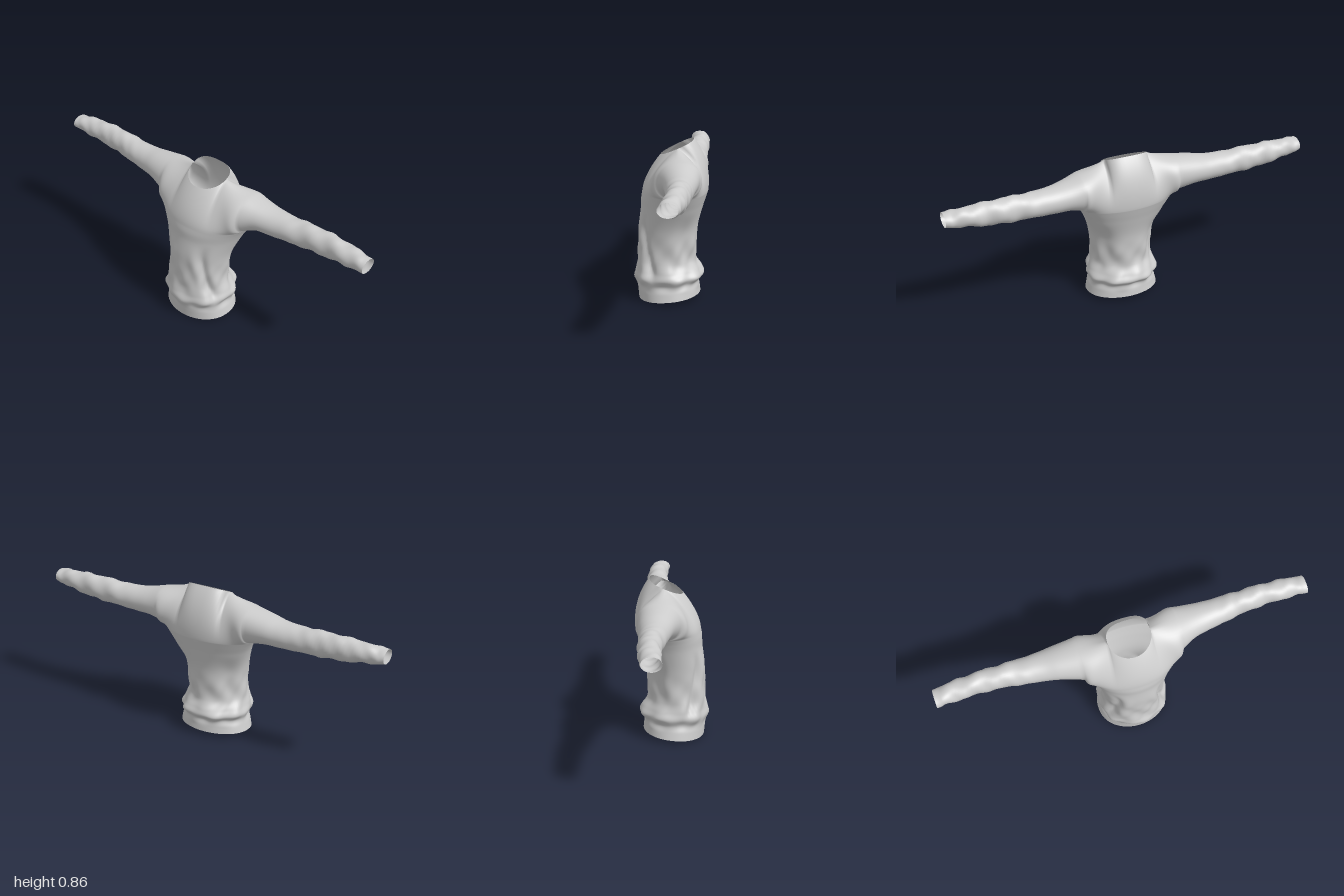
import * as THREE from 'three';
import { mergeGeometries, mergeVertices } from 'three/addons/utils/BufferGeometryUtils.js';

const V = (x, y, z) => new THREE.Vector3(x, y, z);
const CX = 0.02;   // the garment hangs slightly off centre
const N = 48;      // columns per front or back half (multiple of 3)
const M = 20;      // rows from armpit to shoulder
const bell = (d, w) => Math.exp(-(d * d) / (w * w));
const lerp = THREE.MathUtils.lerp;
const step = THREE.MathUtils.smoothstep;

// Skin a grid of points
function skin(rows, flip) {
  const pos = rows.flat().flatMap(p => [p.x, p.y, p.z]);
  const w = rows[0].length, index = [];
  for (let j = 0; j < rows.length - 1; j++) {
    for (let i = 0; i < w - 1; i++) {
      const a = j * w + i, b = a + 1, c = a + w, d = c + 1;
      index.push(...(flip ? [a, c, b, b, c, d] : [a, b, c, b, d, c]));
    }
  }
  const g = new THREE.BufferGeometry();
  g.setAttribute('position', new THREE.Float32BufferAttribute(pos, 3));
  g.setIndex(index);
  return g;
}

// Smooth rows through key rings, column by column
function loft(rings, steps) {
  const columns = rings[0].map((_, i) =>
    new THREE.CatmullRomCurve3(rings.map(r => r[i])).getPoints((rings.length - 1) * steps));
  return columns[0].map((_, j) => columns.map(c => c[j]));
}

// Torso sections: y, right x, left x, front z, back z, side z
const torso = [
  [0.00, -0.180, 0.215, 0.175, -0.155, 0.010],
  [0.04, -0.170, 0.206, 0.179, -0.151, 0.010],
  [0.078, -0.160, 0.197, 0.184, -0.148, 0.010],
  [0.12, -0.176, 0.211, 0.199, -0.174, 0.005],
  [0.16, -0.168, 0.197, 0.190, -0.160, 0.005],
  [0.21, -0.155, 0.183, 0.182, -0.131, 0.010],
  [0.30, -0.152, 0.185, 0.178, -0.134, 0.010],
  [0.40, -0.165, 0.200, 0.174, -0.141, 0.000],
  [0.50, -0.198, 0.237, 0.162, -0.167, -0.030],
  [0.55, -0.223, 0.263, 0.160, -0.183, -0.045],
  [0.585, -0.245, 0.285, 0.154, -0.194, -0.050],
];

function torsoPoint([y, x0, x1, zf, zb, zs], phi) {
  const s = Math.sin(phi);
  const z = zs + (s > 0 ? zf - zs : zs - zb) * Math.sign(s) * Math.abs(s) ** 0.92;
  const tilt = 0.03 * (1 - step(y, 0.0, 0.2)) * (zf - z) / (zf - zb);
  return V((x0 + x1) / 2 - Math.cos(phi) * (x1 - x0) / 2, y + tilt, z);
}

// Drape folds pushed in and out of the torso
function addFolds(p, phi) {
  const y = p.y;
  const drape = step(y, 0.09, 0.2) * (1 - step(y, 0.36, 0.5));
  const low = step(y, 0.05, 0.11) * (1 - step(y, 0.2, 0.4));
  const fromSide = Math.acos(Math.abs(Math.cos(phi)));
  let d = 0;
  if (Math.sin(phi) > 0) {
    const path = lerp(0.45, 0.9, step(y, 0.1, 0.45));
    d -= 0.018 * drape * bell(fromSide - path, 0.13);
    d += 0.008 * drape * bell(fromSide - path - 0.28, 0.16);
  } else {
    d -= 0.016 * drape * bell(fromSide - 0.65, 0.35);
  }
  d += 0.004 * low * Math.sin(7 * phi + 30 * y);
  d += 0.003 * low * Math.sin(11 * phi - 45 * y);
  p.x -= Math.cos(phi) * d;
  p.z += Math.sin(phi) * d;
  return p;
}

function buildTorso() {
  const phis = Array.from({ length: 2 * N + 1 }, (_, i) => Math.PI * (i % (2 * N)) / N);
  const rows = loft(torso.map(s => phis.map(phi => torsoPoint(s, phi))), 7);
  rows.forEach(r => r.forEach((p, i) => addFolds(p, phis[i])));
  return skin(rows, false);
}

// Upper edge of a yoke panel: shoulder, half of the neckline, shoulder
function yokeTop(k, side) {
  const neckPoint = psi => {
    const s = Math.sin(psi), c = Math.cos(psi), e = side > 0 ? 1 : 0.75;
    const z = -0.045 + (side > 0 ? 0.103 : -0.072) * Math.max(s, 0) ** e;
    return V(CX - 0.115 * Math.sign(c) * Math.abs(c) ** e, 0.775 + (0.06 - z) * 0.457, z);
  };
  const third = N / 3;
  if (k >= third && k <= 2 * third) return neckPoint(Math.PI * (k - third) / third);
  const right = k < third;
  const t = (right ? third - k : k - 2 * third) / third;
  const p = neckPoint(right ? 0 : Math.PI);
  p.lerp(V(CX + (right ? -0.27 : 0.27), 0.78, -0.07), t);
  p.y -= 0.006 * Math.sin(Math.PI * t);
  return p;
}

// Yoke column k: a curve from armpit level up to the upper edge
function yokeColumn(k, side) {
  const phi = Math.PI * k / N, c = Math.abs(Math.cos(phi));
  const B = torsoPoint(torso.at(-1), side > 0 ? phi : -phi), T = yokeTop(k, side);
  const [b0, t0] = side > 0
    ? [V(0, 0.2, -0.02), V(0, 0.15, -0.12)]
    : [V(0, 0.27, -0.03), V(0, 0.25, 0.2)];
  const m = side * 0.44;
  const b = b0.lerp(V(0, 0, m), c ** 5), t = t0.lerp(V(0, 0, -m), c ** 2);
  const curve = new THREE.CubicBezierCurve3(
    B, B.clone().addScaledVector(b, 1 / 3), T.clone().addScaledVector(t, -1 / 3), T);
  return curve.getPoints(M);
}

function buildYoke(side) {
  const columns = Array.from({ length: N + 1 }, (_, k) => yokeColumn(k, side));
  return skin(columns[0].map((_, j) => columns.map(c => c[j])), side < 0);
}

// Sleeve sections: x, bottom y, top y, back z, front z
const sleeve = [
  [0.36, 0.609, 0.763, -0.165, 0.018],
  [0.43, 0.611, 0.751, -0.159, 0.000],
  [0.52, 0.616, 0.746, -0.155, -0.014],
  [0.62, 0.620, 0.752, -0.152, -0.030],
  [0.75, 0.628, 0.755, -0.149, -0.040],
  [0.88, 0.645, 0.748, -0.141, -0.036],
  [0.96, 0.657, 0.739, -0.132, -0.031],
  [1.00, 0.664, 0.735, -0.126, -0.027],
];

function buildSleeve(dir) {
  // The armhole is the outermost yoke column, front then back
  const k = dir < 0 ? 0 : N;
  const armhole = [...yokeColumn(k, 1), ...yokeColumn(k, -1).reverse().slice(1)];
  const rings = sleeve.map(([x, y0, y1, z0, z1]) => armhole.map((_, i) => {
    const a = Math.PI * (i % (2 * M)) / M;
    return V(dir * x, (y0 + y1) / 2 - Math.cos(a) * (y1 - y0) / 2,
      (z0 + z1) / 2 + Math.sin(a) * (z1 - z0) / 2);
  }));
  const rows = loft([armhole, ...rings], 7);
  // Soft slanting wrinkles along the forearm
  rows.forEach(r => r.forEach((p, i) => {
    const a = Math.PI * (i % (2 * M)) / M, x = Math.abs(p.x);
    const d = 0.003 * step(x, 0.4, 0.7) * (1 - step(x, 0.95, 1)) *
      (Math.sin(42 * x + 2 * a) + 0.6 * Math.sin(75 * x - 3 * a));
    p.y -= Math.cos(a) * d;
    p.z += Math.sin(a) * d;
  }));
  return skin(rows, dir > 0);
}

export function createModel() {
  // Weld torso, yoke and sleeves into one soft shell, open at neck, cuffs and hem
  const shell = mergeVertices(mergeGeometries([
    buildTorso(), buildYoke(1), buildYoke(-1), buildSleeve(1), buildSleeve(-1),
  ]), 1e-4);
  shell.computeVertexNormals();
  const sweater = new THREE.Mesh(shell,
    new THREE.MeshStandardMaterial({ color: 0xcccccc, side: THREE.DoubleSide }));
  sweater.name = 'sweaterShell';
  const group = new THREE.Group();
  group.name = 'sweater';
  group.add(sweater);
  return group;
}
